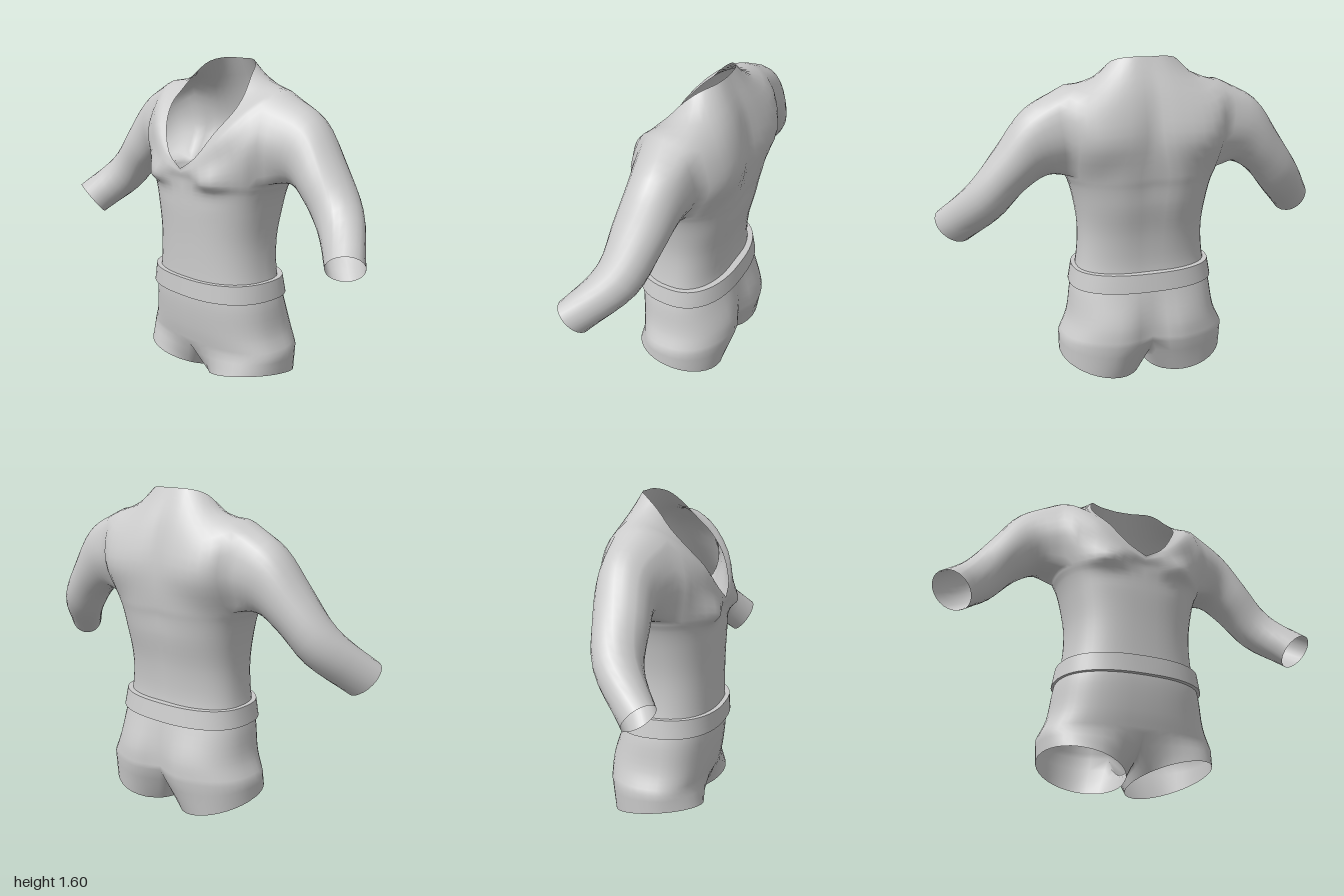
import * as THREE from 'three';
import { mergeVertices, toCreasedNormals } from 'three/addons/utils/BufferGeometryUtils.js';

const V = (x, y, z) => new THREE.Vector3(x, y, z);
const N = 24;   // columns from centre front to centre back
const SUB = 4;  // rows per profile section

// Half of a rounded horizontal section, from centre front round the +x side to centre back
function halfRing([y, half, front, back, groove = 0, bust = 0]) {
  const pts = [];
  for (let i = 0; i <= N; i++) {
    const a = (i / N) * Math.PI, s = Math.sin(a), c = Math.cos(a);
    const x = i % N ? half * Math.pow(s, 0.83) : 0;
    let z = Math.pow(Math.abs(c), 0.83) * (c > 0 ? front : back);
    if (c < 0) z *= 1 - groove * Math.exp(-((x / 0.08) ** 2));
    else z += bust * Math.exp(-(((x - 0.19) / 0.085) ** 2));
    pts.push(V(x, y, z));
  }
  return pts;
}

// Half section through nine guide points
function guideRing(points) {
  const curve = new THREE.CatmullRomCurve3(points.map(p => V(...p)));
  return Array.from({ length: N + 1 }, (_, i) => curve.getPoint(i / N));
}

// Smooth rows through a list of matching sections
function smoothRows(sections, sub) {
  const steps = (sections.length - 1) * sub;
  const curves = sections[0].map((_, i) => new THREE.CatmullRomCurve3(sections.map(s => s[i])));
  return Array.from({ length: steps + 1 }, (_, j) => curves.map(c => c.getPoint(j / steps)));
}

// Quads between rows, each also mirrored to the -x side
function skin(out, rows, closed = false, skip = () => false) {
  const tri = (a, b, c) => {
    for (const p of [a, b, c]) out.push(p.x, p.y, p.z);
    for (const p of [a, c, b]) out.push(-p.x, p.y, p.z);
  };
  for (let j = 0; j < rows.length - 1; j++) {
    const lo = rows[j], hi = rows[j + 1], n = lo.length;
    for (let i = 0; i < (closed ? n : n - 1); i++) {
      if (skip(i, j)) continue;
      const k = (i + 1) % n;
      tri(lo[i], lo[k], hi[k]);
      tri(lo[i], hi[k], hi[i]);
    }
  }
}

function geometryFrom(list) {
  const g = new THREE.BufferGeometry();
  g.setAttribute('position', new THREE.Float32BufferAttribute(list, 3));
  return g;
}

export function createModel() {
  const group = new THREE.Group();
  const material = new THREE.MeshStandardMaterial({ color: 0xcccccc, side: THREE.DoubleSide });
  const cloth = [];

  // Trunk sections: y, half width, front z, back z, back groove, bust
  const trunk = [
    [0.2, 0.43, 0.215, -0.285, 0.2],
    [0.3, 0.385, 0.235, -0.28, 0.18],
    [0.45, 0.36, 0.25, -0.23, 0.06],
    [0.56, 0.33, 0.245, -0.2, 0.03],
    [0.74, 0.315, 0.245, -0.21, 0.04],
    [0.9, 0.335, 0.25, -0.245, 0.06],
    [0.995, 0.36, 0.25, -0.26, 0.08, 0.006],
    [1.05, 0.385, 0.25, -0.27, 0.08, 0.05],
  ].map(halfRing);
  // Chest, shoulder and neckline guides, centre front to centre back
  const chest = guideRing([[0, 1.08, 0.258], [0.14, 1.12, 0.268], [0.29, 1.19, 0.2],
    [0.385, 1.25, 0.14], [0.41, 1.27, -0.03], [0.38, 1.23, -0.2],
    [0.28, 1.22, -0.275], [0.13, 1.22, -0.285], [0, 1.22, -0.255]]);
  const shoulder = guideRing([[0, 1.092, 0.26], [0.12, 1.16, 0.256], [0.24, 1.28, 0.21],
    [0.35, 1.42, 0.08], [0.41, 1.46, -0.04], [0.38, 1.43, -0.16],
    [0.27, 1.39, -0.23], [0.12, 1.41, -0.235], [0, 1.43, -0.215]]);
  const neckline = guideRing([[0, 1.1, 0.262], [0.09, 1.16, 0.25], [0.17, 1.28, 0.2],
    [0.22, 1.38, 0.12], [0.215, 1.45, 0.05], [0.19, 1.53, -0.02],
    [0.16, 1.58, -0.08], [0.09, 1.6, -0.13], [0, 1.6, -0.14]]);
  const rows = smoothRows([...trunk, chest, shoulder, neckline], SUB);

  // Armhole: a block of columns and rows left open for the sleeve
  const i0 = 9, i1 = 15, j0 = (trunk.length - 1) * SUB, j1 = j0 + 2 * SUB;
  skin(cloth, rows, false, (i, j) => i >= i0 && i < i1 && j >= j0 && j < j1);
  const armhole = [];
  for (let i = i0; i < i1; i++) armhole.push(rows[j0][i]);
  for (let j = j0; j < j1; j++) armhole.push(rows[j][i1]);
  for (let i = i1; i > i0; i--) armhole.push(rows[j1][i]);
  for (let j = j1; j > j0; j--) armhole.push(rows[j][i0]);

  // Sleeve sections: centre, vector to the top, vector to the front
  const sleeve = [
    [V(0.525, 1.21, -0.05), V(0.05, 0.16, -0.01), V(0, 0, 0.135)],
    [V(0.64, 1.095, -0.035), V(0.065, 0.105, 0), V(-0.01, 0, 0.125)],
    [V(0.765, 0.94, 0), V(0.065, 0.085, 0.02), V(-0.04, 0, 0.1)],
    [V(0.91, 0.785, 0.14), V(0.045, 0.075, 0.045), V(-0.075, 0, 0.045)],
  ].map(([c, up, front]) => armhole.map(p => {
    const a = Math.atan2((p.z + 0.03) / 0.15, (p.y - 1.25) / 0.2);
    return c.clone().addScaledVector(up, Math.cos(a)).addScaledVector(front, Math.sin(a));
  }));
  skin(cloth, smoothRows([armhole, ...sleeve], 4), true);

  // Leg: half of the hip section closed by a crotch line, down to a slanted hem
  const hip = rows[0].slice();
  const back = hip[N], front = hip[0];
  for (let k = 1; k < 10; k++) {
    const t = k / 10;
    hip.push(V(0, 0.2 - 0.13 * Math.pow(Math.sin(Math.PI * t), 0.6), THREE.MathUtils.lerp(back.z, front.z, t)));
  }
  const hem = hip.map(p => {
    const a = Math.atan2(p.x - 0.215, p.z + 0.01), s = Math.sin(a), c = Math.cos(a);
    return V(0.222 + 0.207 * s, 0.058 + 0.045 * s + 0.035 * c, -0.005 + 0.222 * c);
  });
  const legRows = [0, 0.33, 0.67, 1].map(t => hem.map((p, i) => p.clone().lerp(hip[i], t)));
  skin(cloth, legRows, true);

  const suitGeometry = mergeVertices(geometryFrom(cloth), 1e-4);
  suitGeometry.computeVertexNormals();
  const suit = new THREE.Mesh(suitGeometry, material);
  suit.name = 'bodysuit';
  group.add(suit);

  // Belt: a flared band with lips that meet the cloth
  const band = [];
  skin(band, [
    [0.47, 0.345, 0.24, -0.215],
    [0.47, 0.368, 0.272, -0.245],
    [0.56, 0.352, 0.268, -0.23],
    [0.56, 0.325, 0.235, -0.195],
  ].map(halfRing));
  const belt = new THREE.Mesh(toCreasedNormals(geometryFrom(band), 0.8), material);
  belt.name = 'belt';
  group.add(belt);

  return group;
}
